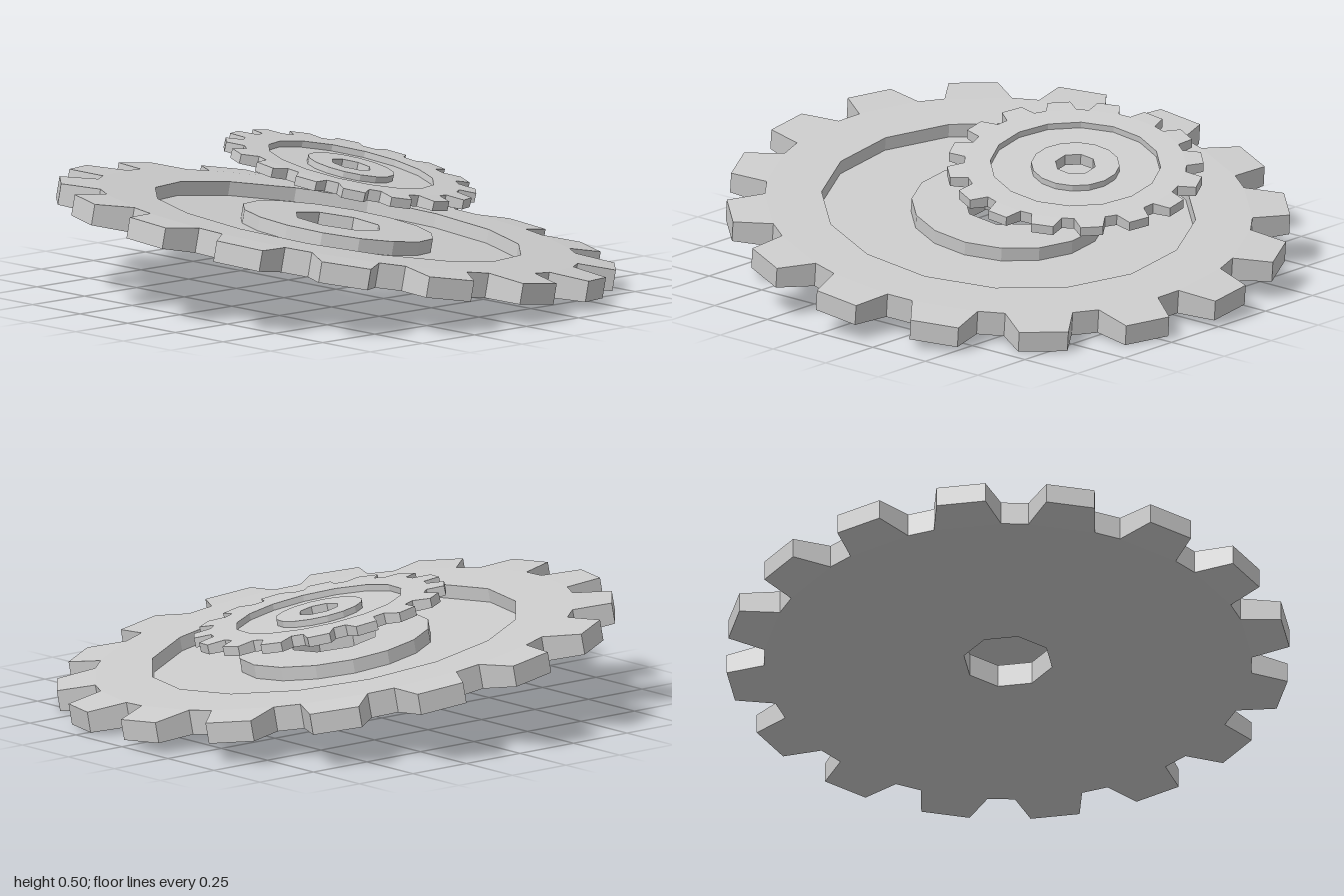
import * as THREE from 'three';
import { mergeGeometries } from 'three/addons/utils/BufferGeometryUtils.js';

const TEETH = 16, STEP = (Math.PI * 2) / TEETH, TURN = THREE.MathUtils.degToRad(4.2);
const ROOT_R = 0.865, TIP_R = 1.0, HALF = 0.045, TIP_HALF = 0.038, FLOOR = -0.005;
const ROOT_ANGLE = 0.14, TIP_ANGLE = 0.088;

const material = new THREE.MeshStandardMaterial({ color: 0xcccccc, flatShading: true });

const polar = (r, a) => new THREE.Vector2(r * Math.cos(a), r * Math.sin(a));

// regular polygon with an edge centred on the first tooth
function polygon(r, sides) {
  return Array.from({ length: sides }, (_, i) => polar(r, TURN + ((i + 0.5) * Math.PI * 2) / sides));
}

// outline through the root corners of all teeth
function rootOutline() {
  const points = [];
  for (let i = 0; i < TEETH; i++) {
    points.push(polar(ROOT_R, TURN + i * STEP - ROOT_ANGLE), polar(ROOT_R, TURN + i * STEP + ROOT_ANGLE));
  }
  return points;
}

// flat ring between two outlines, from height y0 to y1
function ring(name, outer, inner, y0, y1) {
  const shape = new THREE.Shape(outer);
  shape.holes.push(new THREE.Path(inner));
  const geometry = new THREE.ExtrudeGeometry(shape, { depth: y1 - y0, bevelEnabled: false });
  geometry.rotateX(-Math.PI / 2).translate(0, y0, 0);
  const mesh = new THREE.Mesh(geometry, material);
  mesh.name = name;
  return mesh;
}

// tooth narrowing in width and thickness toward its tip
function tooth(angle) {
  const geometry = new THREE.BoxGeometry(2, 2, 2);
  const p = geometry.attributes.position;
  for (let i = 0; i < p.count; i++) {
    const tip = p.getX(i) > 0;
    const c = polar(tip ? TIP_R : ROOT_R, p.getZ(i) * (tip ? TIP_ANGLE : ROOT_ANGLE));
    p.setXYZ(i, c.x, p.getY(i) * (tip ? TIP_HALF : HALF), c.y);
  }
  geometry.rotateY(angle);
  geometry.computeVertexNormals();
  return geometry;
}

function gear(name) {
  const group = new THREE.Group();
  group.name = name;
  const hole = polygon(0.16, 8), recess = polygon(0.665, 16), hub = polygon(0.345, 16);
  const teeth = new THREE.Mesh(
    mergeGeometries(Array.from({ length: TEETH }, (_, i) => tooth(TURN + i * STEP))), material);
  teeth.name = 'teeth';
  group.add(
    ring('basePlate', rootOutline(), hole, -HALF, FLOOR),
    ring('rim', rootOutline(), recess, FLOOR, HALF),
    ring('hub', hub, hole, FLOOR, HALF),
    teeth,
  );
  return group;
}

// lean a gear so that its height falls by slopeX along x and slopeZ along z
function lean(group, slopeX, slopeZ) {
  const normal = new THREE.Vector3(slopeX, 1, slopeZ).normalize();
  group.quaternion.setFromUnitVectors(new THREE.Vector3(0, 1, 0), normal);
}

export function createModel() {
  const model = new THREE.Group();
  model.name = 'gearPair';

  const large = gear('largeGear');
  lean(large, 0.142, 0.085);
  large.position.set(0, 0.202, 0);

  const small = gear('smallGear');
  small.scale.setScalar(0.455);
  lean(small, 0.15, 0.155);
  small.position.set(0.195, 0.388, -0.14);

  model.add(large, small);
  return model;
}
